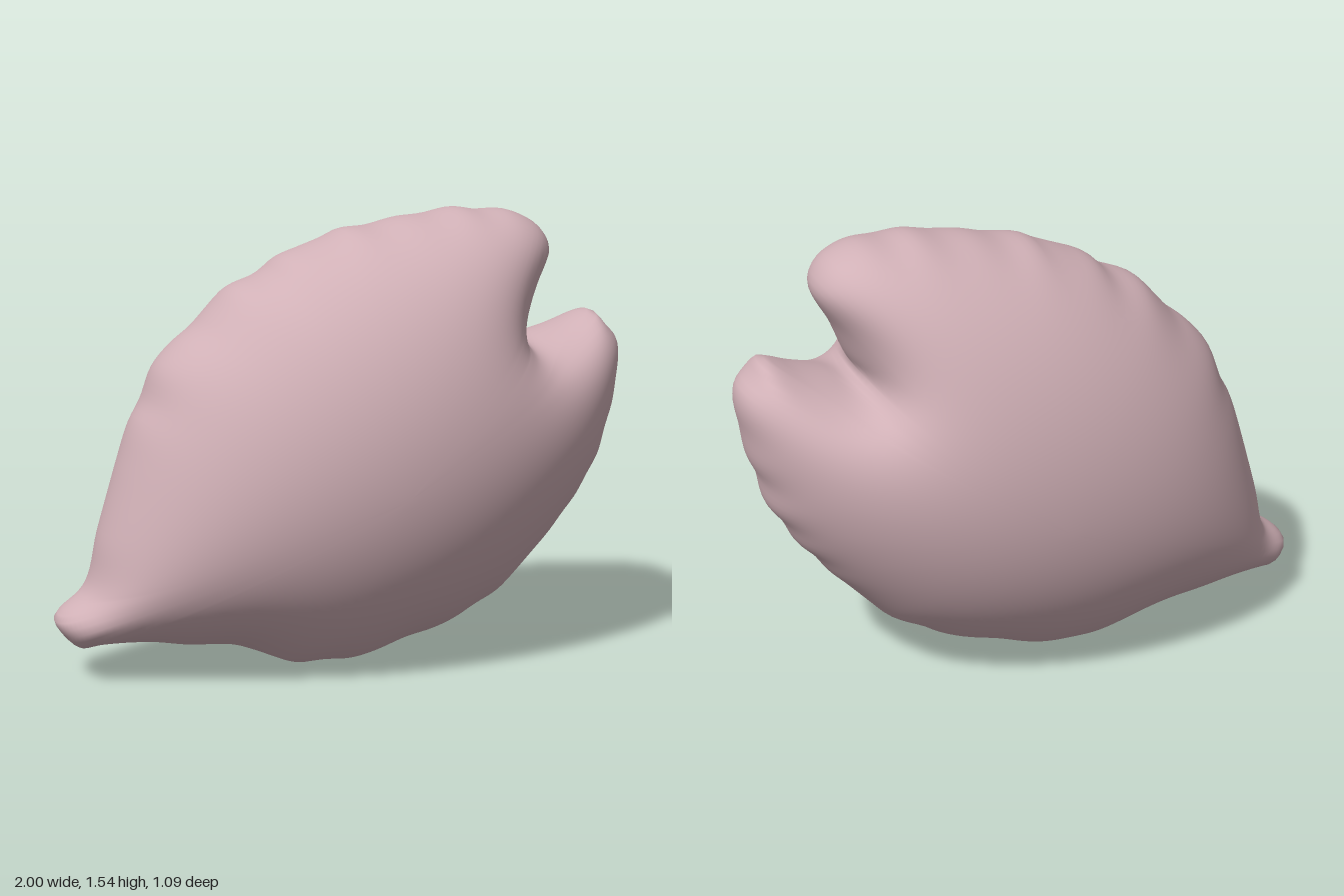
import * as THREE from 'three';
import { mergeVertices } from 'three/addons/utils/BufferGeometryUtils.js';

// Rippled leaf outline, counterclockwise from the pointed stem
const OUTLINE = [
  -1, .21, -.92, .115, -.88, .125, -.7, .125, -.57, .105, -.42, .095, -.33, .065, -.26, .035, -.19, .01,
  -.1, .015, 0, .01, .1, .035, .19, .07, .29, .09, .39, .13, .44, .165, .53, .205, .6, .275, .68, .36,
  .73, .41, .78, .48, .83, .53, .87, .61, .92, .68, .94, .78, .97, .85, .985, .95, 1, 1.04, .99, 1.1,
  .95, 1.14, .91, 1.185, .87, 1.175, .8, 1.145, .7, 1.115, .63, 1.1, .605, 1.115, .63, 1.17, .67, 1.27,
  .735, 1.405, .7, 1.48, .66, 1.51, .58, 1.54, .48, 1.54, .4, 1.55, .3, 1.53, .2, 1.52, .1, 1.495,
  0, 1.485, -.05, 1.46, -.13, 1.43, -.22, 1.395, -.28, 1.345, -.39, 1.3, -.46, 1.23, -.51, 1.175,
  -.58, 1.12, -.65, 1.04, -.69, .93, -.73, .86, -.77, .74, -.8, .64, -.83, .54, -.85, .47, -.875, .35,
  -.9, .3, -.97, .25,
];
const CENTRE = { x: .05, y: .65 };
const HALF_DEPTH = .545;
const SEGMENTS = 240;
const LOOPS = 36;

function outlinePoints() {
  const points = [];
  for (let i = 0; i < OUTLINE.length; i += 2) points.push(new THREE.Vector3(OUTLINE[i], OUTLINE[i + 1], 0));
  return new THREE.CatmullRomCurve3(points, true).getSpacedPoints(SEGMENTS).slice(0, SEGMENTS);
}

// Balloon height over a point: mean-value blend of squared distances to the rim
function inflation(rim, x, y) {
  let sum = 0, weight = 0;
  for (let i = 0; i < rim.length; i++) {
    const a = rim[i], b = rim[(i + 1) % rim.length];
    const ax = a.x - x, ay = a.y - y, bx = b.x - x, by = b.y - y;
    const ra = Math.hypot(ax, ay), rb = Math.hypot(bx, by);
    const tanHalf = (ax * by - ay * bx) / (ax * bx + ay * by + ra * rb);
    sum += tanHalf * (ra + rb);
    weight += tanHalf * (1 / ra + 1 / rb);
  }
  return Math.sqrt(Math.max(0, sum / weight));
}

// Nested loops swell from the rim to the centre on both sides
function inflatedGeometry() {
  const rim = outlinePoints();
  const half = [];
  let highest = 0;
  for (let r = 0; r <= LOOPS; r++) {
    const t = Math.sin((r / LOOPS) * Math.PI / 2);
    half.push(rim.map((p) => {
      const x = CENTRE.x + (p.x - CENTRE.x) * t;
      const y = CENTRE.y + (p.y - CENTRE.y) * t;
      const z = r === LOOPS ? 0 : inflation(rim, x, y);
      highest = Math.max(highest, z);
      return [x, y, z];
    }));
  }

  const positions = [], index = [];
  for (let r = 0; r <= 2 * LOOPS; r++) {
    const side = r <= LOOPS ? 1 : -1;
    for (const [x, y, z] of half[r <= LOOPS ? r : 2 * LOOPS - r]) {
      positions.push(x, y, side * z * HALF_DEPTH / highest);
    }
  }
  for (let r = 0; r < 2 * LOOPS; r++) {
    for (let j = 0; j < SEGMENTS; j++) {
      const k = (j + 1) % SEGMENTS;
      const a = r * SEGMENTS + j, b = r * SEGMENTS + k;
      const c = a + SEGMENTS, d = b + SEGMENTS;
      if (r > 0) index.push(a, d, b);
      if (r < 2 * LOOPS - 1) index.push(a, c, d);
    }
  }
  const geometry = new THREE.BufferGeometry();
  geometry.setAttribute('position', new THREE.Float32BufferAttribute(positions, 3));
  geometry.setIndex(index);
  const merged = mergeVertices(geometry, 1e-5);
  merged.computeVertexNormals();
  return merged;
}

export function createModel() {
  const group = new THREE.Group();
  group.name = 'petal';
  const pink = new THREE.MeshStandardMaterial({ color: 0xd0b0b6 });
  pink.name = 'dusty pink';
  const body = new THREE.Mesh(inflatedGeometry(), pink);
  body.name = 'petalBody';
  group.add(body);
  return group;
}
